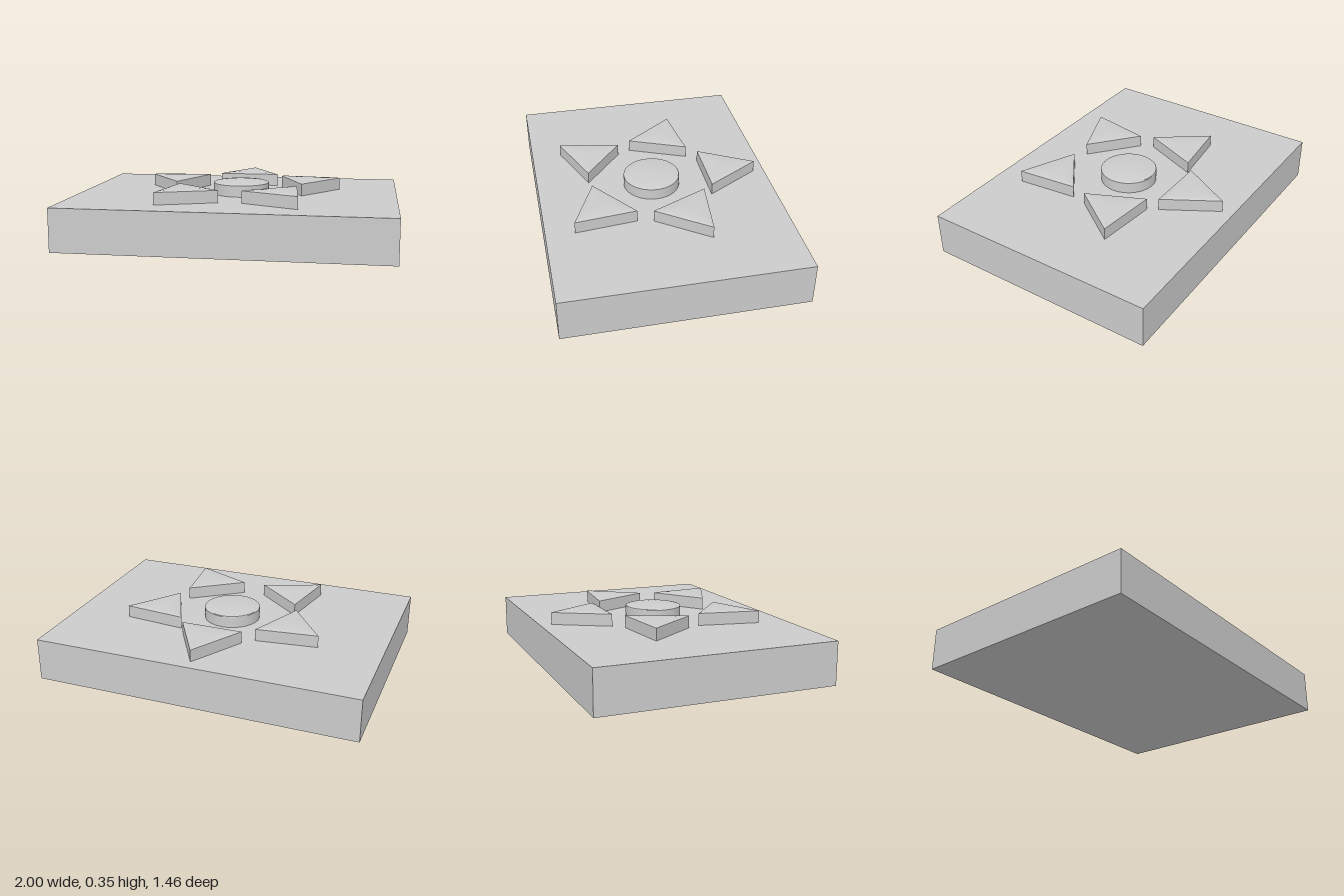
import * as THREE from 'three';
import { toCreasedNormals } from 'three/addons/utils/BufferGeometryUtils.js';

const BASE_TOP = 0.265;

// Raised pad: upright wall, thin bevelled rim and a shallow domed top.
// outline: [x, z] points, counter-clockwise seen from above.
function padGeometry(outline, rimY, bevelY, crownY, inset, shift = [0, 0]) {
  const n = outline.length;
  const cx = outline.reduce((s, p) => s + p[0], 0) / n;
  const cz = outline.reduce((s, p) => s + p[1], 0) / n;

  // Cross-sections as [scale, height, shift amount]
  const rings = [[1, BASE_TOP, 0], [1, rimY, 0]];
  const steps = 6;
  for (let i = 0; i <= steps; i++) {
    const t = 1 - i / steps;
    rings.push([inset * t, bevelY + (crownY - bevelY) * (1 - t * t), 1]);
  }

  const positions = [];
  for (const [scale, y, k] of rings) {
    for (const [x, z] of outline) {
      positions.push(cx + (x - cx) * scale + shift[0] * k, y, cz + (z - cz) * scale + shift[1] * k);
    }
  }
  const index = [];
  for (let i = 0; i < rings.length - 1; i++) {
    for (let j = 0; j < n; j++) {
      const a = i * n + j, b = i * n + (j + 1) % n;
      index.push(a, b, b + n);
      if (i < rings.length - 2) index.push(a, b + n, a + n);
    }
  }
  const geometry = new THREE.BufferGeometry();
  geometry.setAttribute('position', new THREE.Float32BufferAttribute(positions, 3));
  geometry.setIndex(index);
  return toCreasedNormals(geometry, 0.25);
}

// Splits each side so the domed top shades smoothly
function subdivide(corners, parts = 6) {
  return corners.flatMap(([x, z], i) => {
    const [nx, nz] = corners[(i + 1) % corners.length];
    return Array.from({ length: parts }, (_, k) => [x + (nx - x) * k / parts, z + (nz - z) * k / parts]);
  });
}

export function createModel() {
  const group = new THREE.Group();
  const material = new THREE.MeshStandardMaterial({ color: 0xcccccc });
  const add = (name, geometry) => {
    const mesh = new THREE.Mesh(geometry, material);
    mesh.name = name;
    group.add(mesh);
    return mesh;
  };

  // Slab
  add('baseSlab', new THREE.BoxGeometry(2, BASE_TOP, 1.46)).position.y = BASE_TOP / 2;

  // Round centre pad
  const circle = Array.from({ length: 64 }, (_, i) => {
    const a = i / 64 * Math.PI * 2;
    return [0.02 + 0.175 * Math.cos(a), 0.015 - 0.175 * Math.sin(a)];
  });
  add('centrePad', padGeometry(circle, 0.335, 0.339, 0.351, 0.95, [-0.003, -0.006]));

  // Five triangular pads around the centre, placed slightly unevenly
  const triangles = {
    backPad: [[0.02, -0.66], [-0.17, -0.33], [0.215, -0.33]],
    leftPad: [[0.25, -0.27], [0.41, 0.08], [0.635, -0.23]],
    frontLeftPad: [[0.39, 0.175], [0.08, 0.4], [0.43, 0.555]],
    frontRightPad: [[-0.35, 0.165], [-0.42, 0.545], [-0.06, 0.405]],
    rightPad: [[-0.235, -0.27], [-0.615, -0.225], [-0.385, 0.085]],
  };
  for (const [name, corners] of Object.entries(triangles)) {
    add(name, padGeometry(subdivide(corners), 0.34, 0.344, 0.349, 0.89));
  }

  return group;
}
